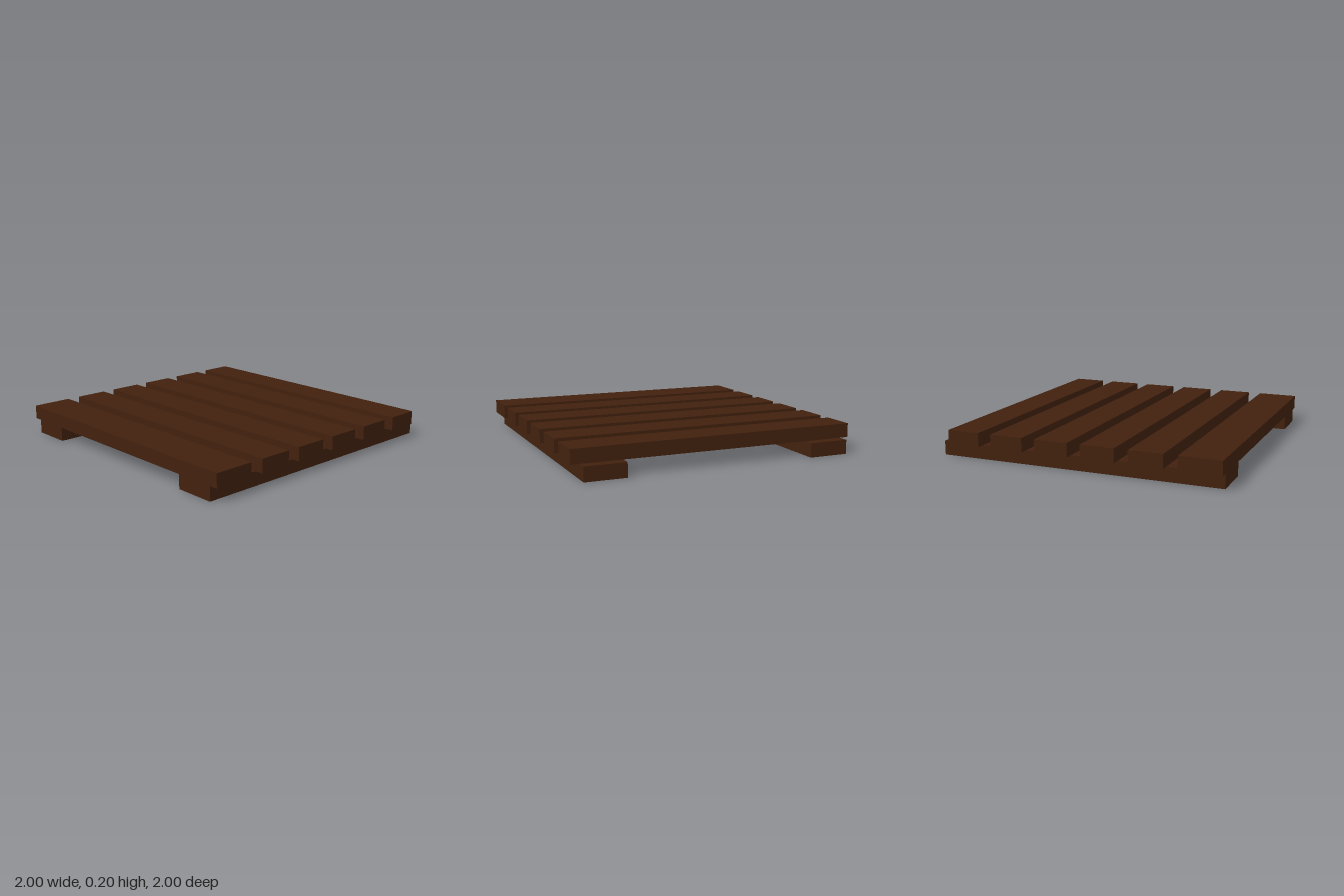
import * as THREE from 'three';

export function createModel() {
  const model = new THREE.Group();
  model.name = 'slattedPlatform';
  const darkWood = new THREE.MeshStandardMaterial({ color: 0x42210e });
  darkWood.name = 'darkWood';

  // Box given by its lower and upper limits on each axis
  const board = (name, [x0, x1], [y0, y1], [z0, z1]) => {
    const mesh = new THREE.Mesh(new THREE.BoxGeometry(x1 - x0, y1 - y0, z1 - z0), darkWood);
    mesh.position.set((x0 + x1) / 2, (y0 + y1) / 2, (z0 + z1) / 2);
    mesh.name = name;
    model.add(mesh);
  };

  const runnerTop = 0.098, slatTop = 0.195;

  // Two runners from front to back
  board('rightRunner', [-0.94, -0.658], [0, runnerTop], [-1, 1]);
  board('leftRunner', [0.658, 0.94], [0, runnerTop], [-1, 1]);

  // Five evenly spaced slats
  const firstSlat = -0.927, pitch = 0.3285, slatWidth = 0.234;
  for (let i = 0; i < 5; i++) {
    const z = firstSlat + i * pitch;
    board(`slat${i + 1}`, [-1, 1], [runnerTop, slatTop], [z, z + slatWidth]);
  }

  // Wider slat along the front edge
  board('frontSlat', [-1, 1], [runnerTop, slatTop], [0.716, 1]);

  return model;
}
